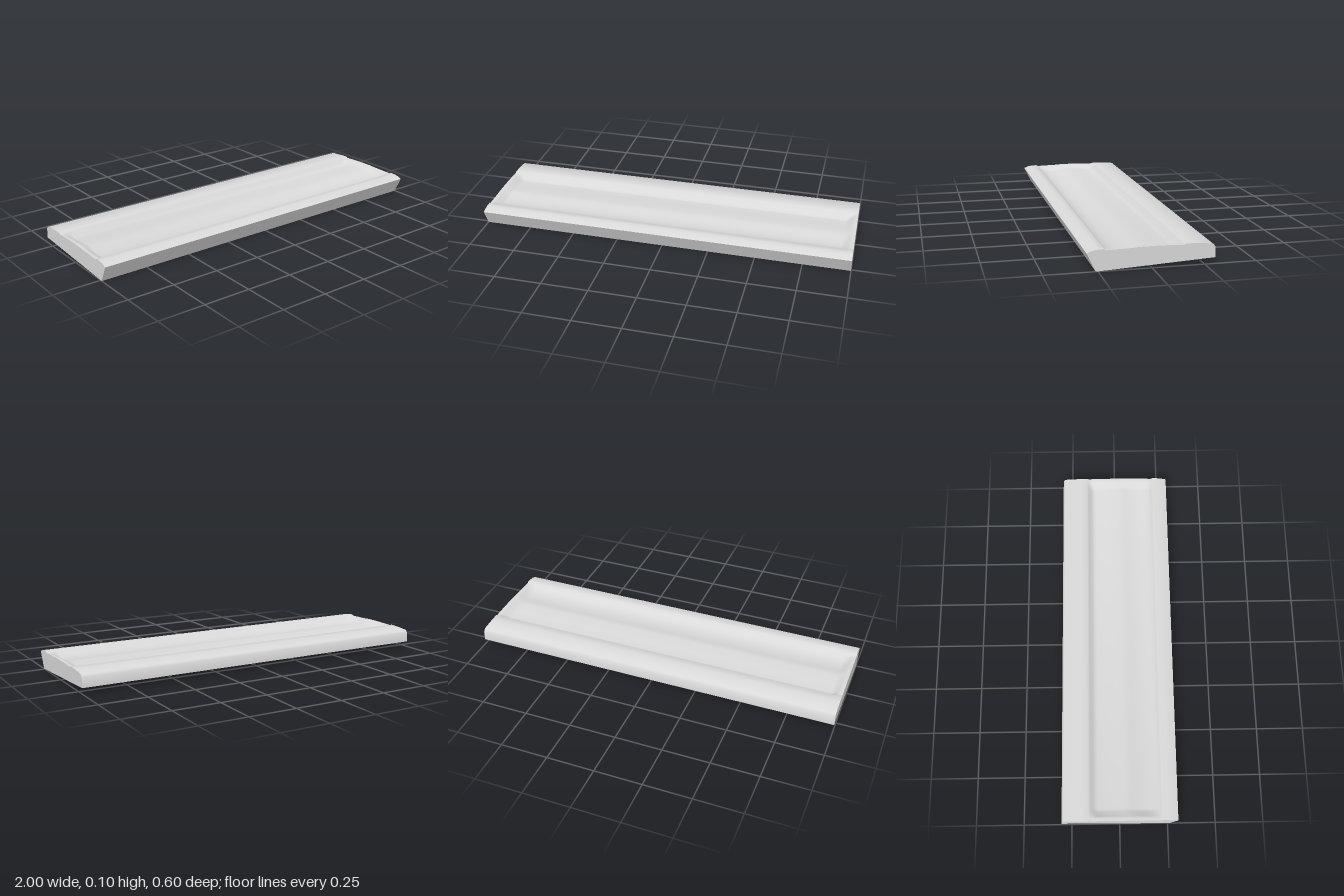
import * as THREE from 'three';
import { toCreasedNormals } from 'three/addons/utils/BufferGeometryUtils.js';

// Cross-section points: [z, height at the ends, height inside the hollow]
const PROFILE = [
  [0.26, 0, 0], [0.302, 0.087, 0.087], [0.275, 0.097, 0.097], [0.25, 0.101, 0.101],
  [0.222, 0.102, 0.1015], [0.213, 0.096, 0.093], [0.195, 0.0965, 0.081], [0.17, 0.0975, 0.073],
  [0.14, 0.098, 0.07], [0.1, 0.099, 0.072], [0.07, 0.101, 0.078], [0.045, 0.102, 0.083],
  [0.025, 0.102, 0.084], [-0.05, 0.102, 0.077], [-0.11, 0.1, 0.07], [-0.122, 0.0995, 0.071],
  [-0.135, 0.099, 0.079], [-0.152, 0.099, 0.097], [-0.16, 0.104, 0.104],
  [-0.2, 0.103, 0.103], [-0.28, 0.097, 0.097], [-0.29, 0.093, 0.093], [-0.3, 0.081, 0.081],
  [-0.302, 0.03, 0.03],
];

// Lengthwise stations: [x, how far the section has sunk into the hollow]
const HALF = [[1, 0], [0.985, 0], [0.975, 0.15], [0.95, 0.85], [0.935, 1]];
const STATIONS = [...HALF.map(([x, t]) => [-x, t]), ...HALF.slice().reverse()];

function slabGeometry() {
  const positions = [];
  const point = ([x, t], i) => {
    const [z, end, mid] = PROFILE[i % PROFILE.length];
    return [x, end + (mid - end) * t, z];
  };
  const triangle = (a, b, c) => positions.push(...a, ...b, ...c);

  // Skin between neighbouring cross-sections
  for (let s = 0; s < STATIONS.length - 1; s++) {
    for (let i = 0; i < PROFILE.length; i++) {
      const a = point(STATIONS[s], i), b = point(STATIONS[s + 1], i);
      const c = point(STATIONS[s + 1], i + 1), d = point(STATIONS[s], i + 1);
      triangle(a, b, c);
      triangle(a, c, d);
    }
  }

  // Flat end caps
  const outline = PROFILE.map(([z, y]) => new THREE.Vector2(z, y));
  const right = STATIONS[0], left = STATIONS[STATIONS.length - 1];
  for (const [i, j, k] of THREE.ShapeUtils.triangulateShape(outline, [])) {
    triangle(point(right, i), point(right, j), point(right, k));
    triangle(point(left, i), point(left, k), point(left, j));
  }

  const geometry = new THREE.BufferGeometry();
  geometry.setAttribute('position', new THREE.Float32BufferAttribute(positions, 3));
  return toCreasedNormals(geometry, THREE.MathUtils.degToRad(55));
}

export function createModel() {
  const group = new THREE.Group();
  group.name = 'hollowedSlab';
  const grey = new THREE.MeshStandardMaterial({ color: 0xd9d9d9 });
  grey.name = 'light grey';
  const slab = new THREE.Mesh(slabGeometry(), grey);
  slab.name = 'slab';
  group.add(slab);
  return group;
}
